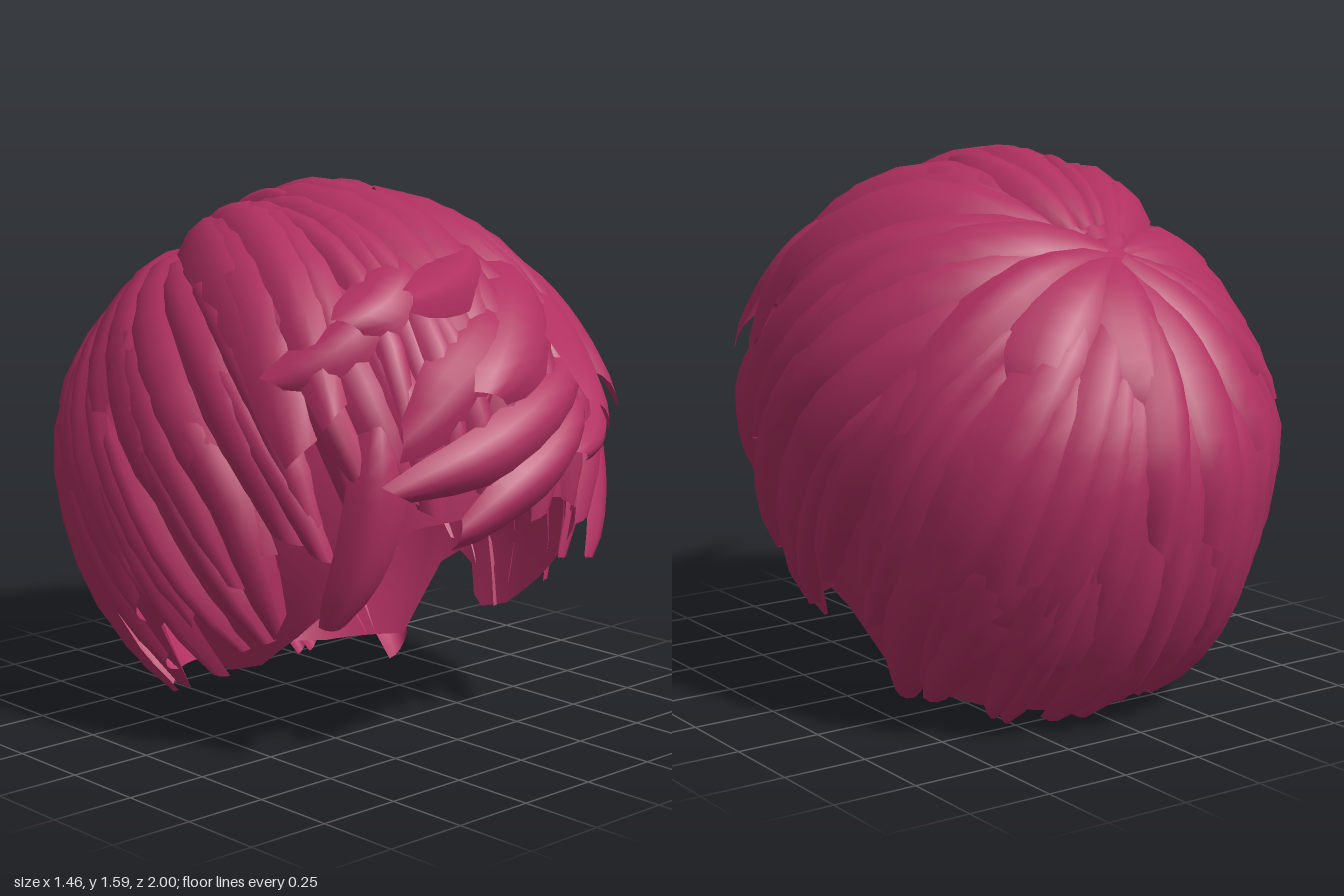
import * as THREE from 'three';

const hair = new THREE.MeshStandardMaterial({ color: 0xb03060, side: THREE.DoubleSide });
hair.name = 'crimson hair';

let seed = 7;
const rand = () => (seed = (seed * 16807) % 2147483647) / 2147483647;
const vary = (amount) => (rand() * 2 - 1) * amount;
const V = (x, y, z) => new THREE.Vector3(x, y, z);

// Where the locks part at the back of the crown, as a direction from the head centre
const WHORL = V(-0.05, 0.79, -0.61).normalize();

// Hairline height by angle from the front, in degrees
const HAIRLINE = [[0, 0.78], [30, 0.72], [42, 0.55], [55, 0.38], [65, 0.27], [78, 0.22],
  [86, 0.36], [94, 0.38], [99, 0.1], [130, 0.05], [181, 0.03]];

function hairline(a) {
  const d = Math.abs(THREE.MathUtils.radToDeg(Math.atan2(Math.sin(a), Math.cos(a))));
  const i = HAIRLINE.findIndex(([deg]) => deg > d);
  const [d0, y0] = HAIRLINE[i - 1], [d1, y1] = HAIRLINE[i];
  return y0 + (y1 - y0) * (d - d0) / (d1 - d0);
}

// Direction on the head for an angle from the front and a height
function headDir(a, y) {
  const t = THREE.MathUtils.clamp((y - 0.8) / (y > 0.8 ? 0.76 : 0.94), -0.99, 0.99);
  const c = Math.sqrt(1 - t * t);
  return V(Math.sin(a) * c, t, Math.cos(a) * c);
}

// Head-shaped surface: ellipsoid quadrants, flattened behind the crown
function headPoint(n, out = 0) {
  let k = 1;
  if (n.y > 0) k += n.z < 0 ? 0.2 * n.y * n.z : 0.03 * n.y * n.z;
  return V(n.x * (0.69 * k + out),
    0.8 + n.y * ((n.y > 0 ? 0.75 : 0.94) * k + out),
    -0.08 + n.z * (0.87 * k + out));
}

function slerp(a, b, t) {
  const th = a.angleTo(b), s = Math.sin(th);
  return a.clone().multiplyScalar(Math.sin((1 - t) * th) / s).addScaledVector(b, Math.sin(t * th) / s).normalize();
}

// Smooth surface from a grid of points
function gridMesh(name, rows, cols, pointAt) {
  const pos = [], index = [];
  for (let i = 0; i <= rows; i++) {
    for (let j = 0; j <= cols; j++) {
      pos.push(...pointAt(i / rows, j / cols).toArray());
      if (i < rows && j < cols) {
        const p = i * (cols + 1) + j, q = p + cols + 1;
        index.push(p, q, p + 1, p + 1, q, q + 1);
      }
    }
  }
  const g = new THREE.BufferGeometry();
  g.setAttribute('position', new THREE.Float32BufferAttribute(pos, 3));
  g.setIndex(index);
  g.computeVertexNormals();
  const mesh = new THREE.Mesh(g, hair);
  mesh.name = name;
  return mesh;
}

// Width along a lock: narrow root, full belly, blunt tip
const WIDTH = [0.38, 0.64, 0.84, 0.96, 1, 1, 0.95, 0.86, 0.7, 0.4];

// An arched lock lying on the head from one direction to another, its tip cut at a slant
function lock(name, from, to, { width = 0.09, out = 0.02, lift = 0, bend = 0, arch = 0.06 } = {}) {
  const side = from.clone().cross(to).normalize();
  const slant = (rand() < 0.5 ? -1 : 1) * (0.4 + rand() * 0.6);
  const path = (t) => headPoint(
    slerp(from, to, t).addScaledVector(side, bend * Math.sin(Math.PI * t)).normalize(),
    out + lift * t * t * t);
  return gridMesh(name, 9, 4, (t, s) => {
    const u = s * 2 - 1;
    const p = path(t);
    const tangent = path(t + 0.02).sub(path(t - 0.02)).normalize();
    const normal = V(p.x, p.y - 0.8, p.z + 0.08).normalize();
    const across = normal.clone().cross(tangent).normalize();
    normal.crossVectors(tangent, across).normalize();
    const w = WIDTH[Math.round(t * 9)];
    const cut = slant * Math.max(0, t - 0.7) / 0.3;
    return p.addScaledVector(across, width * (u * w + cut * 0.25))
      .addScaledVector(tangent, width * u * w * cut)
      .addScaledVector(normal, arch * (w * (1 - u * u) - 0.45));
  });
}

// A ring of locks combed out from the whorl
function layer(name, { count, start, rise, width, out, jitter, phase }) {
  const group = new THREE.Group();
  group.name = name;
  for (let i = 0; i < count; i++) {
    const a = -Math.PI + (i + phase + vary(0.3)) / count * Math.PI * 2;
    const front = Math.max(0, Math.cos(a)) ** 2;
    const base = hairline(a);
    const y = Math.max(0.03, base + rise * (1.25 - base) + vary(jitter) + jitter * 0.5);
    const tip = headDir(a - 0.3 * front, y);
    const root = slerp(WHORL, tip, start + rand() * 0.05);
    group.add(lock(name + 'Lock', root, tip, {
      width: width * (0.75 + rand() * 0.45),
      out: out + rand() * 0.02,
      lift: rand() * 0.025,
      bend: 0.1 * front - 0.06 * Math.sin(a) + vary(0.05),
    }));
  }
  return group;
}

export function createModel() {
  const model = new THREE.Group();
  model.name = 'hair';

  // Scalp cap under the locks, open at the face and neck
  model.add(gridMesh('scalpCap', 14, 72, (t, s) => {
    const a = s * Math.PI * 2 - Math.PI;
    const low = Math.asin(headDir(a, hairline(a)).y);
    const e = Math.PI / 2 + (low - Math.PI / 2) * t;
    return headPoint(V(Math.sin(a) * Math.cos(e), Math.sin(e), Math.cos(a) * Math.cos(e)), -0.02);
  }));

  // Overlapping layers from the hairline up to the crown
  model.add(layer('hairline', { count: 36, start: 0.4, rise: 0, width: 0.085, out: -0.01, jitter: 0.05, phase: 0 }));
  model.add(layer('lower', { count: 27, start: 0.22, rise: 0.16, width: 0.1, out: 0, jitter: 0.1, phase: 0.5 }));
  model.add(layer('middle', { count: 19, start: 0.1, rise: 0.36, width: 0.115, out: 0.008, jitter: 0.13, phase: 0.2 }));
  model.add(layer('crown', { count: 13, start: 0.02, rise: 0.6, width: 0.13, out: 0.014, jitter: 0.13, phase: 0.6 }));

  // Fringe swept across the forehead: root angle, root height, tip angle, tip height, lift, width
  const fringe = new THREE.Group();
  fringe.name = 'fringe';
  [
    [0.25, 1.42, -0.55, 1.24, 0.22, 0.09],
    [-0.35, 1.42, -0.72, 1.22, 0.06, 0.12],
    [0.55, 1.38, -0.22, 1.05, 0.06, 0.13],
    [0.7, 1.32, 0.06, 1.0, 0.2, 0.12],
    [0.65, 1.15, -0.6, 0.82, 0.08, 0.09],
    [0.45, 1.05, -0.4, 0.74, 0.05, 0.085],
    [0.1, 1.3, -0.6, 0.98, 0.06, 0.11],
    [0.85, 1.4, 0.62, 1.02, 0.06, 0.14],
    [0.8, 1.1, 0.25, 0.86, 0.04, 0.08],
    [-0.4, 1.36, -1.0, 1.08, 0.05, 0.1],
    [0.95, 1.02, 0.55, 0.54, 0.03, 0.085],
    [-0.65, 1.05, -0.8, 0.45, 0.02, 0.085],
  ].forEach(([a0, y0, a1, y1, lift, width]) => fringe.add(
    lock('fringeLock', headDir(a0, y0), headDir(a1, y1), { width, lift, out: 0.025, bend: 0.05 })));
  model.add(fringe);

  // Raised strands lying over the top of the head
  const top = new THREE.Group();
  top.name = 'topStrands';
  [[-0.05, 0.26, 0.08], [0.16, 0.12, 0.075], [-0.2, 0.02, 0.06]].forEach(([x, z, width]) => top.add(
    lock('topStrand', V(x * 0.4, 0.86, -0.5).normalize(), V(x, 1, z).normalize(),
      { width, out: 0.032, lift: 0.01, arch: 0.05 })));
  model.add(top);

  return model;
}
